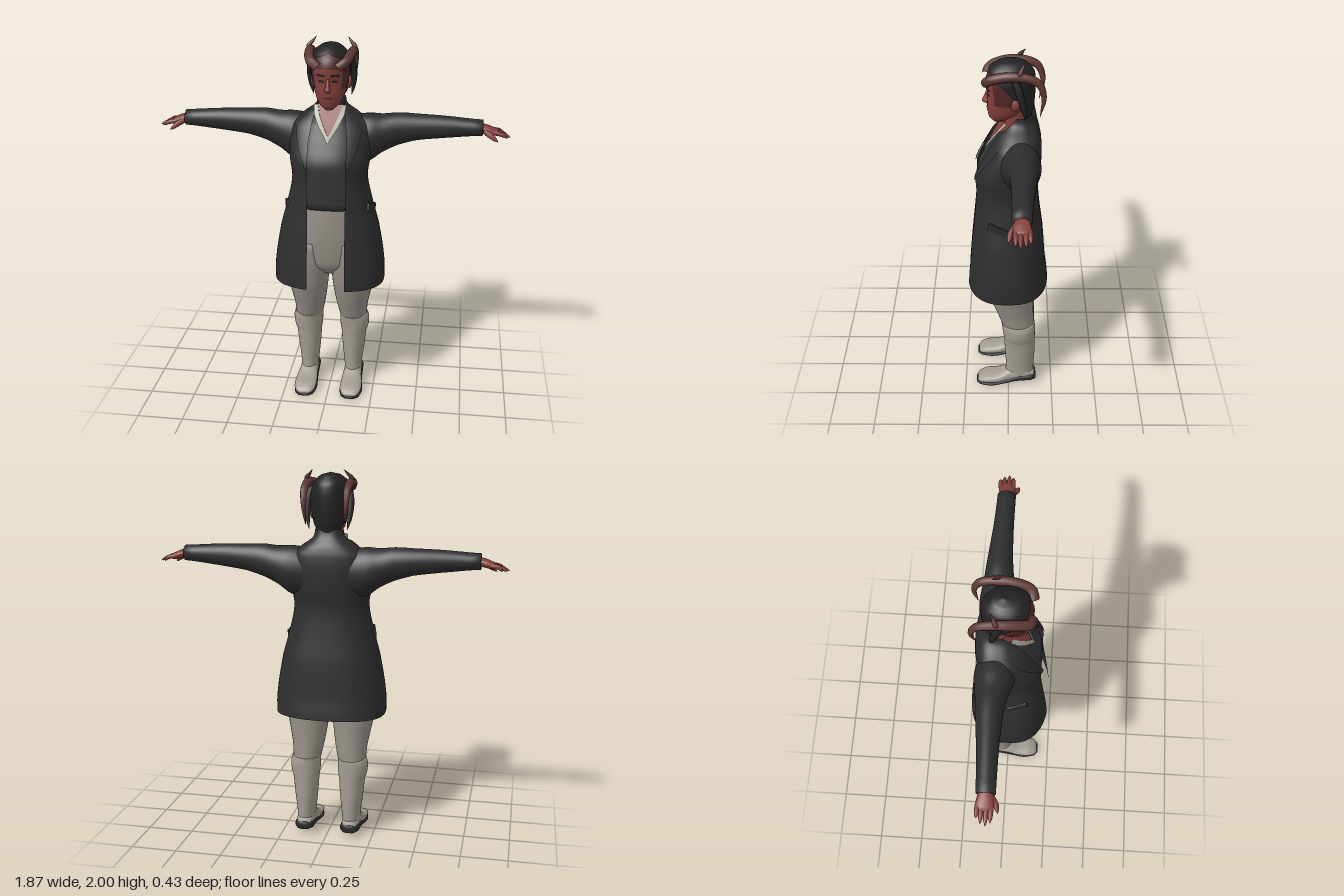
import * as THREE from 'three';

const mat = (name, color, side = THREE.FrontSide) =>
  Object.assign(new THREE.MeshStandardMaterial({ color, side }), { name });
const TWO = THREE.DoubleSide;

// Section row: [t, a0, a1, b0, b1, startDeg, endDeg]; refined by Catmull-Rom.
function refine(rows, sub) {
  const out = [];
  for (let i = 0; i < rows.length - 1; i++) {
    const [p, q, r, s] = [-1, 0, 1, 2].map(k => rows[Math.min(rows.length - 1, Math.max(0, i + k))]);
    for (let k = 0; k < sub; k++) {
      const u = k / sub;
      out.push(q.map((v, c) => c === 0 ? v + (r[0] - v) * u : v + 0.5 * u * (r[c] - p[c] +
        u * (2 * p[c] - 5 * v + 4 * r[c] - s[c] + u * (3 * (v - r[c]) + s[c] - p[c])))));
    }
  }
  out.push(rows[rows.length - 1]);
  return out;
}

// Skin through the sections along an axis; open when the rows carry angles.
function loft(rows, { axis = 'y', seg = 32, sub = 4, pow = 1 } = {}) {
  const fine = sub > 1 ? refine(rows, sub) : rows;
  const open = rows[0].length > 5, n = open ? seg + 1 : seg;
  const pos = [], idx = [];
  const bend = v => Math.sign(v) * Math.abs(v) ** pow;
  const put = (t, a, b) => pos.push(...(axis === 'y' ? [a, t, b] : axis === 'x' ? [t, b, a] : [b, a, t]));
  for (const [t, a0, a1, b0, b1, s = 0, e = 360] of fine) {
    for (let j = 0; j < n; j++) {
      const g = THREE.MathUtils.degToRad(s + (e - s) * j / seg);
      put(t, (a0 + a1) / 2 + (a1 - a0) / 2 * bend(Math.sin(g)), (b0 + b1) / 2 + (b1 - b0) / 2 * bend(Math.cos(g)));
    }
  }
  const last = (fine.length - 1) * n;
  for (let i = 0; i < fine.length - 1; i++) {
    for (let j = 0; j < seg; j++) {
      const k = (j + 1) % n, a = i * n + j, b = i * n + k;
      idx.push(a, b, b + n, a, b + n, a + n);
    }
  }
  if (!open) {
    const c = pos.length / 3;
    for (const r of [fine[0], fine[fine.length - 1]]) put(r[0], (r[1] + r[2]) / 2, (r[3] + r[4]) / 2);
    for (let j = 0; j < seg; j++) {
      const k = (j + 1) % n;
      idx.push(c, k, j, c + 1, last + j, last + k);
    }
  }
  return finish(pos, idx);
}

function finish(pos, idx) {
  const g = new THREE.BufferGeometry();
  g.setAttribute('position', new THREE.Float32BufferAttribute(pos, 3));
  g.setIndex(idx);
  g.computeVertexNormals();
  return g;
}

// Rows that are symmetric about x = 0: [y, halfWidth, zBack, zFront, startDeg]
const sym = rows => rows.map(([y, x, z0, z1, s]) => s === undefined ? [y, -x, x, z0, z1] : [y, -x, x, z0, z1, s, 360 - s]);

// Thin raised band lying on a lofted surface, between two angles.
function band(rows, y0, y1, from, to, grow, pow = 1, steps = 10) {
  const fine = refine(rows, 8), out = [];
  for (let i = 0; i <= steps; i++) {
    const u = i / steps, y = y0 + (y1 - y0) * u;
    const k = Math.max(1, fine.findIndex(r => r[0] >= y));
    const f = (y - fine[k - 1][0]) / (fine[k][0] - fine[k - 1][0]);
    const r = fine[k - 1].map((v, c) => v + (fine[k][c] - v) * f);
    out.push([y, r[1] - grow, r[2] + grow, r[3] - grow, r[4] + grow, from(u, r), to(u, r)]);
  }
  return loft(out, { seg: 10, sub: 1, pow });
}

// Tube along points, thinning to a tip.
function taper(points, radius, power = 1, seg = 24) {
  const curve = new THREE.CatmullRomCurve3(points.map(p => new THREE.Vector3(...p)));
  const g = new THREE.TubeGeometry(curve, seg, radius, 10), p = g.attributes.position, v = new THREE.Vector3();
  for (let i = 0; i < p.count; i++) {
    const u = Math.floor(i / 11) / seg, c = curve.getPointAt(u);
    v.fromBufferAttribute(p, i).sub(c).multiplyScalar(1 - u ** power).add(c);
    p.setXYZ(i, v.x, v.y, v.z);
  }
  return g;
}

// Strip between two edges with the same number of points.
function ribbon(left, right) {
  const idx = [];
  for (let i = 0; i < left.length - 1; i++) {
    const a = i * 2;
    idx.push(a, a + 1, a + 3, a, a + 3, a + 2);
  }
  return finish(left.flatMap((p, i) => [...p, ...right[i]]), idx);
}

function mirrored(geo) {
  const g = geo.clone().scale(-1, 1, 1), a = g.index.array;
  for (let i = 0; i < a.length; i += 3) [a[i], a[i + 2]] = [a[i + 2], a[i]];
  return g;
}

export function createModel() {
  const model = new THREE.Group();
  const coat = mat('coat cloth', 0x2d2d2e, TWO), vest = mat('vest cloth', 0x333436);
  const trousers = mat('trouser cloth', 0x979189), boots = mat('boot leather', 0xa29c92);
  const soles = mat('sole', 0x2b2b2c), shirt = mat('shirt linen', 0xb0aca0, TWO);
  const skin = mat('skin', 0x84403b, TWO), shade = mat('dark skin', 0x52292a, TWO);
  const horn = mat('horn', 0x5e3835), hair = mat('hair', 0x222223, TWO);
  const add = (name, geo, m) => {
    const mesh = new THREE.Mesh(geo, m);
    mesh.name = name;
    model.add(mesh);
  };
  const pair = (name, geo, m) => {
    add(name + 'Left', geo, m);
    add(name + 'Right', mirrored(geo), m);
  };

  // Long coat, open at the front, with lapels and pocket flaps
  const coatRows = sym([[0.69, 0.3, -0.215, 0.225, 15], [0.8, 0.297, -0.2, 0.217, 15], [1, 0.265, -0.185, 0.2, 17],
    [1.15, 0.225, -0.165, 0.187, 21], [1.28, 0.2, -0.155, 0.18, 25], [1.38, 0.212, -0.165, 0.178, 23],
    [1.48, 0.215, -0.17, 0.13, 23], [1.56, 0.2, -0.165, 0.085, 22], [1.61, 0.14, -0.15, 0.05, 30],
    [1.65, 0.085, -0.125, 0.015, 52], [1.69, 0.074, -0.112, 0, 78]]);
  add('coat', loft(coatRows, { seg: 56, pow: 0.8 }), coat);
  pair('lapel', band(coatRows, 1.36, 1.63, (u, r) => r[5] - 1, (u, r) => r[5] + 3 + 26 * Math.min(1, u * 1.4), 0.007, 0.8), coat);
  pair('pocketFlap', new THREE.BoxGeometry(0.014, 0.04, 0.11).rotateX(-0.3).rotateY(-0.25).translate(0.226, 1.125, 0.055), coat);

  // Sleeves
  pair('sleeve', loft([[0.08, -0.15, 0.03, 1.34, 1.59], [0.2, -0.165, 0.04, 1.345, 1.603], [0.27, -0.155, 0.02, 1.395, 1.6],
    [0.35, -0.145, 0, 1.435, 1.608], [0.45, -0.135, -0.01, 1.465, 1.605], [0.6, -0.12, -0.015, 1.485, 1.6],
    [0.79, -0.11, -0.015, 1.505, 1.588]], { axis: 'x' }), coat);

  // Hands
  pair('palm', loft([[0.77, -0.095, -0.03, 1.525, 1.572], [0.82, -0.105, -0.022, 1.515, 1.56],
    [0.855, -0.107, -0.022, 1.51, 1.545], [0.87, -0.1, -0.03, 1.517, 1.535]], { axis: 'x', seg: 20 }), skin);
  [[-0.097, 0.898], [-0.077, 0.925], [-0.054, 0.935], [-0.033, 0.92]].forEach(([z, tip], i) =>
    pair('finger' + (i + 1), taper([[0.84, 1.53, z], [0.88, 1.523, z * 1.03], [tip, 1.502, z * 1.05]], 0.0125, 4, 10), skin));
  pair('thumb', taper([[0.8, 1.535, -0.035], [0.835, 1.515, -0.012], [0.87, 1.488, -0.002]], 0.015, 4, 10), skin);

  // Trousers
  add('hips', loft(sym([[0.72, 0.11, -0.1, 0.06], [0.78, 0.19, -0.14, 0.12], [0.9, 0.215, -0.15, 0.145],
    [1.02, 0.2, -0.15, 0.155], [1.16, 0.185, -0.13, 0.155]])), trousers);
  pair('trouserLeg', loft([[0.4, 0.055, 0.2, -0.143, 0.028], [0.5, 0.035, 0.207, -0.14, 0.06], [0.58, 0.022, 0.222, -0.138, 0.09],
    [0.66, 0.012, 0.237, -0.14, 0.115], [0.76, 0.004, 0.24, -0.14, 0.132], [0.92, 0, 0.21, -0.14, 0.14]]), trousers);

  // Boots with turned tops and dark soles
  pair('bootShaft', loft([[0.06, 0.08, 0.177, -0.143, 0.02], [0.12, 0.075, 0.178, -0.145, 0.015], [0.22, 0.065, 0.19, -0.15, 0.02],
    [0.32, 0.058, 0.2, -0.15, 0.025], [0.36, 0.052, 0.212, -0.15, 0.03], [0.41, 0.05, 0.215, -0.15, 0.036],
    [0.44, 0.05, 0.206, -0.148, 0.04]]), boots);
  pair('bootFoot', loft([[-0.15, 0.03, 0.09, 0.09, 0.165], [-0.1, 0.025, 0.11, 0.08, 0.175], [0, 0.012, 0.1, 0.075, 0.18],
    [0.06, 0.01, 0.07, 0.07, 0.19], [0.13, 0.01, 0.06, 0.07, 0.19], [0.165, 0.01, 0.045, 0.082, 0.178],
    [0.18, 0.014, 0.028, 0.1, 0.16]].map(([z, y0, y1, x0, x1]) => [z, y0, y1, x0, x1]), { axis: 'z', pow: 0.85 }), boots);
  pair('sole', loft([[-0.157, 0.03, 0.072, 0.09, 0.165], [-0.13, 0.028, 0.072, 0.075, 0.18], [-0.04, 0.022, 0.06, 0.073, 0.183],
    [0.03, 0.008, 0.032, 0.07, 0.187], [0.1, 0, 0.02, 0.066, 0.194], [0.165, 0, 0.018, 0.08, 0.18],
    [0.186, 0.004, 0.016, 0.1, 0.16]], { axis: 'z', pow: 0.6 }), soles);

  // Vest, shirt collar and bare throat
  add('vest', loft(sym([[1.13, 0.19, -0.13, 0.168], [1.28, 0.178, -0.13, 0.168], [1.38, 0.18, -0.13, 0.164],
    [1.48, 0.17, -0.13, 0.115], [1.56, 0.14, -0.13, 0.07], [1.6, 0.1, -0.12, 0.035]]), { pow: 0.8 }), vest);
  const inner = [[0, 1.515, 0.113], [0.03, 1.57, 0.084], [0.052, 1.62, 0.052], [0.064, 1.665, 0.018]];
  const outer = [[0, 1.48, 0.128], [0.056, 1.57, 0.082], [0.08, 1.62, 0.05], [0.085, 1.66, 0.012]];
  pair('shirtCollar', ribbon(inner, outer), shirt);
  add('throat', ribbon(inner.map(([x, y, z]) => [-x, y, z - 0.003]), inner.map(([x, y, z]) => [x, y, z - 0.003])), skin);
  add('neck', loft(sym([[1.56, 0.065, -0.09, 0.05], [1.64, 0.058, -0.09, 0.035], [1.73, 0.058, -0.09, 0.03]])), skin);

  // Head and face
  const headRows = sym([[1.648, 0.022, 0.03, 0.078], [1.67, 0.048, -0.02, 0.098], [1.7, 0.068, -0.07, 0.106],
    [1.75, 0.084, -0.1, 0.108], [1.8, 0.092, -0.11, 0.106], [1.86, 0.095, -0.115, 0.114],
    [1.91, 0.088, -0.11, 0.1], [1.95, 0.06, -0.08, 0.06], [1.97, 0.015, -0.03, 0.01]]);
  add('head', loft(headRows), skin);
  add('nose', loft(sym([[1.745, 0.01, 0.09, 0.115], [1.757, 0.018, 0.08, 0.134], [1.775, 0.013, 0.08, 0.128],
    [1.815, 0.009, 0.08, 0.112]]), { seg: 16 }), skin);
  const face = (y0, y1, a, b) => band(headRows, y0, y1, () => a, () => b, 0.003);
  add('forehead', face(1.865, 1.935, -62, 62), shade);
  pair('temple', face(1.76, 1.925, 48, 112), shade);
  pair('eye', face(1.797, 1.81, 12, 30), hair);
  pair('brow', face(1.828, 1.84, 9, 36), hair);
  add('mouth', face(1.712, 1.724, -16, 16), shade);
  pair('ear', new THREE.SphereGeometry(1, 16, 12).scale(0.014, 0.034, 0.022).rotateX(-0.2).translate(0.094, 1.775, -0.035), skin);

  // Hair swept back, with side locks
  add('hair', loft(sym([[1.66, 0.066, -0.112, 0.02, 135], [1.72, 0.09, -0.125, 0.09, 118], [1.8, 0.104, -0.132, 0.115, 102],
    [1.87, 0.105, -0.134, 0.124, 72], [1.92, 0.095, -0.127, 0.11, 36], [1.945, 0.08, -0.107, 0.09, 0],
    [1.97, 0.047, -0.077, 0.05, 0], [1.982, 0.003, -0.03, -0.02, 0]]).map(r => [...r.slice(0, 5), Math.max(0, r[5]), r[6]]), { seg: 40 }), hair);
  pair('sideLock', taper([[0.095, 1.91, -0.03], [0.112, 1.84, -0.055], [0.112, 1.76, -0.075], [0.1, 1.69, -0.085]], 0.02, 3), hair);

  // Swept horns and their upright spikes
  pair('horn', taper([[0.05, 1.875, 0.112], [0.088, 1.903, 0.095], [0.108, 1.93, 0.01], [0.112, 1.928, -0.08],
    [0.112, 1.9, -0.145], [0.11, 1.83, -0.172], [0.103, 1.715, -0.155]], 0.025, 3, 36), horn);
  pair('hornSpike', taper([[0.098, 1.915, -0.04], [0.119, 1.95, -0.055], [0.1, 1.975, -0.068], [0.08, 2, -0.085]], 0.017, 1.5), horn);

  return model;
}
